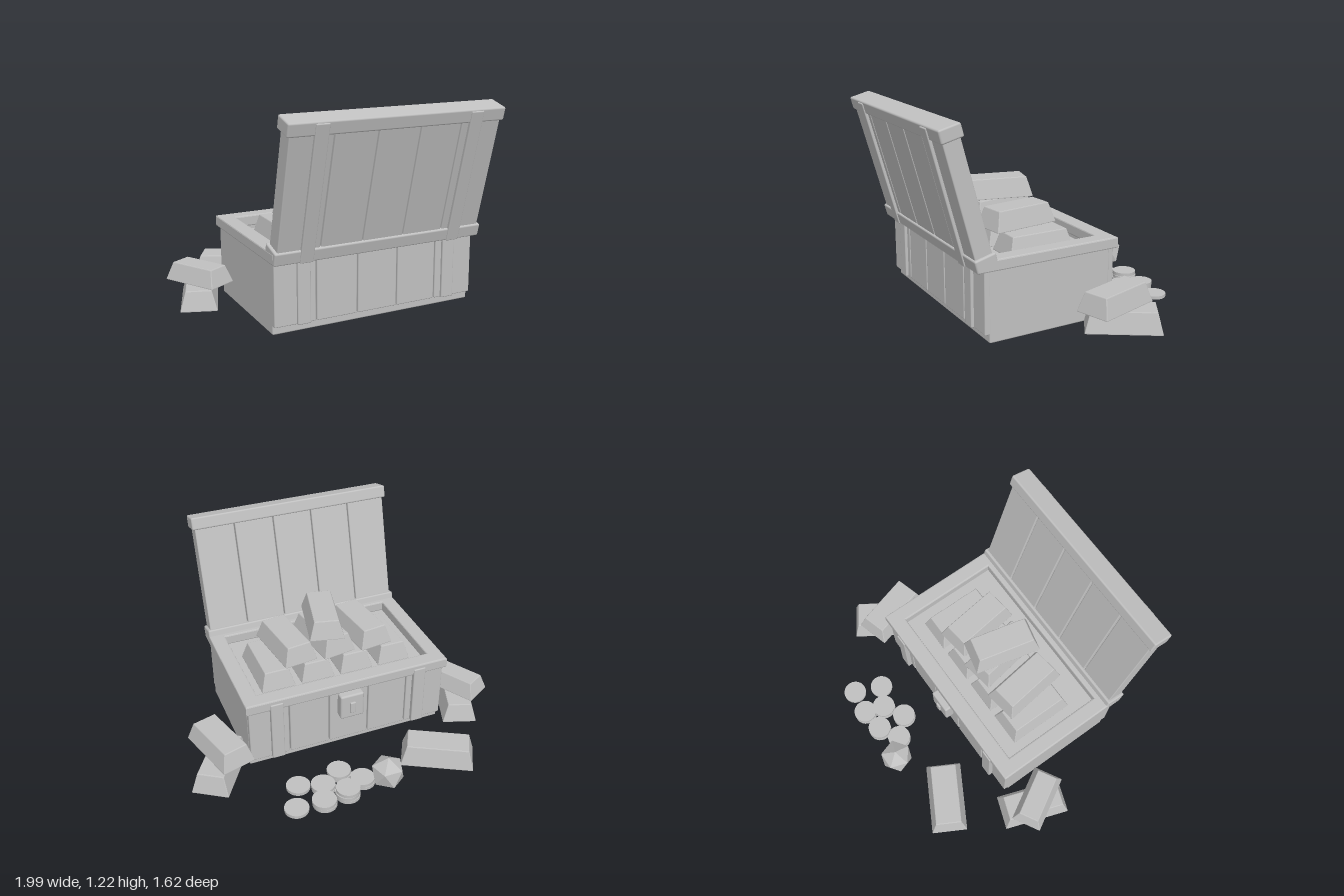
import * as THREE from 'three';
import { RoundedBoxGeometry } from 'three/addons/geometries/RoundedBoxGeometry.js';

const CX = -0.02; // chest centre in x

export function createModel() {
  const root = new THREE.Group();
  root.name = 'treasureChest';
  const grey = new THREE.MeshStandardMaterial({ color: 0xc0c0c0 });
  grey.name = 'plainGrey';

  const add = (parent, name, geometry) => {
    const mesh = new THREE.Mesh(geometry, grey);
    mesh.name = name;
    parent.add(mesh);
    return mesh;
  };

  // Softly rounded box given by its minimum and maximum corners
  const block = (parent, name, x0, x1, y0, y1, z0, z1, r = 0.008) => {
    const g = new RoundedBoxGeometry(x1 - x0, y1 - y0, z1 - z0, 2, r);
    const mesh = add(parent, name, g);
    mesh.position.set((x0 + x1) / 2, (y0 + y1) / 2, (z0 + z1) / 2);
    return mesh;
  };

  // Row of five planks with narrow gaps
  const planks = (parent, name, y0, y1, z0, z1) => {
    for (let i = 0; i < 5; i++) {
      const x = -0.65 + i * 0.253;
      block(parent, name, x, x + 0.246, y0, y1, z0, z1, 0.006);
    }
  };

  // Pair of upright battens
  const battens = (parent, name, y0, y1, z0, z1) => {
    for (const x of [CX - 0.46, CX + 0.46])
      block(parent, name, x - 0.039, x + 0.039, y0, y1, z0, z1, 0.006);
  };

  // Chest body
  const body = new THREE.Group();
  body.name = 'chestBody';
  root.add(body);
  block(body, 'base', -0.65, 0.61, 0.01, 0.07, -0.25, 0.52);
  block(body, 'sidePanel', -0.65, -0.59, 0.01, 0.43, -0.25, 0.52);
  block(body, 'sidePanel', 0.55, 0.61, 0.01, 0.43, -0.25, 0.52);
  planks(body, 'lidSidePlank', 0.06, 0.43, 0.48, 0.548);
  planks(body, 'lockSidePlank', 0.06, 0.43, -0.278, -0.21);
  battens(body, 'lidSideBatten', 0.06, 0.43, 0.53, 0.565);
  battens(body, 'lockSideBatten', 0.06, 0.46, -0.305, -0.26);
  block(body, 'innerFloor', -0.6, 0.56, 0.36, 0.4, -0.22, 0.5);

  // Rim: frame around the opening
  const rim = new THREE.Shape();
  const rect = (path, x0, x1, y0, y1) => path.moveTo(x0, y0).lineTo(x1, y0).lineTo(x1, y1).lineTo(x0, y1).closePath();
  rect(rim, -0.659, 0.616, -0.573, 0.288);
  const hole = new THREE.Path();
  rect(hole, -0.584, 0.539, -0.454, 0.209);
  rim.holes.push(hole);
  const rimGeometry = new THREE.ExtrudeGeometry(rim, {
    depth: 0.05, bevelEnabled: true, bevelSize: 0.009, bevelThickness: 0.008, bevelSegments: 2,
  });
  rimGeometry.rotateX(-Math.PI / 2).translate(0, 0.427, 0);
  add(body, 'rim', rimGeometry);

  // Lock
  block(body, 'lockPlate', -0.097, 0.053, 0.25, 0.415, -0.334, -0.27, 0.012);
  block(body, 'keyhole', -0.04, -0.004, 0.29, 0.365, -0.346, -0.325, 0.006);

  // Open lid, leaning away from the lock side
  const lid = new THREE.Group();
  lid.name = 'lid';
  lid.position.set(0, 0.41, 0.597);
  lid.rotation.x = 0.262;
  root.add(lid);
  planks(lid, 'lidPlank', 0.03, 0.78, -0.122, -0.018);
  battens(lid, 'lidBatten', 0.005, 0.8, -0.05, 0);
  for (const y of [0.005, 0.733])
    block(lid, 'lidBar', -0.667, 0.625, y, y + 0.077, -0.137, -0.007, 0.01);

  // Gold bars: rounded boxes narrowed towards the top
  const makeBar = (w, h, l) => {
    const g = new RoundedBoxGeometry(w, h, l, 1, 0.005);
    const p = g.attributes.position;
    for (let i = 0; i < p.count; i++) {
      const t = p.getY(i) / h + 0.5;
      p.setX(i, p.getX(i) * (1 - (0.066 * t) / w));
      p.setZ(i, p.getZ(i) * (1 - (0.066 * t) / l));
    }
    g.translate(0, h / 2, 0);
    g.computeVertexNormals();
    return g;
  };
  const barGeometry = makeBar(0.215, 0.117, 0.415);
  const bar = (name, x, y, z, turn, geometry = barGeometry) => {
    const mesh = add(root, name, geometry);
    mesh.position.set(x, y, z);
    mesh.rotation.y = turn;
  };
  for (let i = 0; i < 4; i++) bar('lowerBar', -0.4 + i * 0.253, 0.403, 0.102, 0);
  bar('middleBar', -0.27, 0.525, 0.137, 0.13);
  bar('middleBar', -0.02, 0.525, 0.137, 0.16);
  bar('middleBar', 0.225, 0.525, 0.137, 0.13);
  bar('topBar', -0.02, 0.643, 0.147, -0.23);

  // Bars lying around the chest
  const smallBar = makeBar(0.19, 0.105, 0.36);
  const largeBar = makeBar(0.225, 0.125, 0.435);
  bar('looseBar', -0.825, 0.01, -0.18, -0.34);
  bar('looseBar', -0.83, 0.14, -0.155, 0.52, smallBar);
  bar('looseBar', 0.785, 0.01, -0.23, -0.575, largeBar);
  bar('looseBar', 0.765, 0.137, -0.187, 0.28);
  bar('looseBar', -0.47, 0.01, -0.605, 1.063, largeBar);

  // Coins in small stacks: x, z, count
  const coinGeometry = new THREE.CylinderGeometry(0.072, 0.072, 0.02, 28);
  const stacks = [
    [0.035, -0.63, 2], [0.16, -0.7, 3], [0.31, -0.715, 2], [0.475, -0.695, 1],
    [0.27, -0.595, 2], [0.405, -0.53, 1], [0.14, -0.52, 2],
  ];
  for (const [x, z, count] of stacks)
    for (let i = 0; i < count; i++)
      add(root, 'coin', coinGeometry).position.set(x + (i % 2) * 0.004, 0.011 + i * 0.023, z);

  // Faceted gem standing on a point
  const gem = add(root, 'gem', new THREE.IcosahedronGeometry(0.105, 0));
  gem.position.set(-0.08, 0.12, -0.72);
  gem.rotation.set(0, 0.3, 0.5536);

  return root;
}
